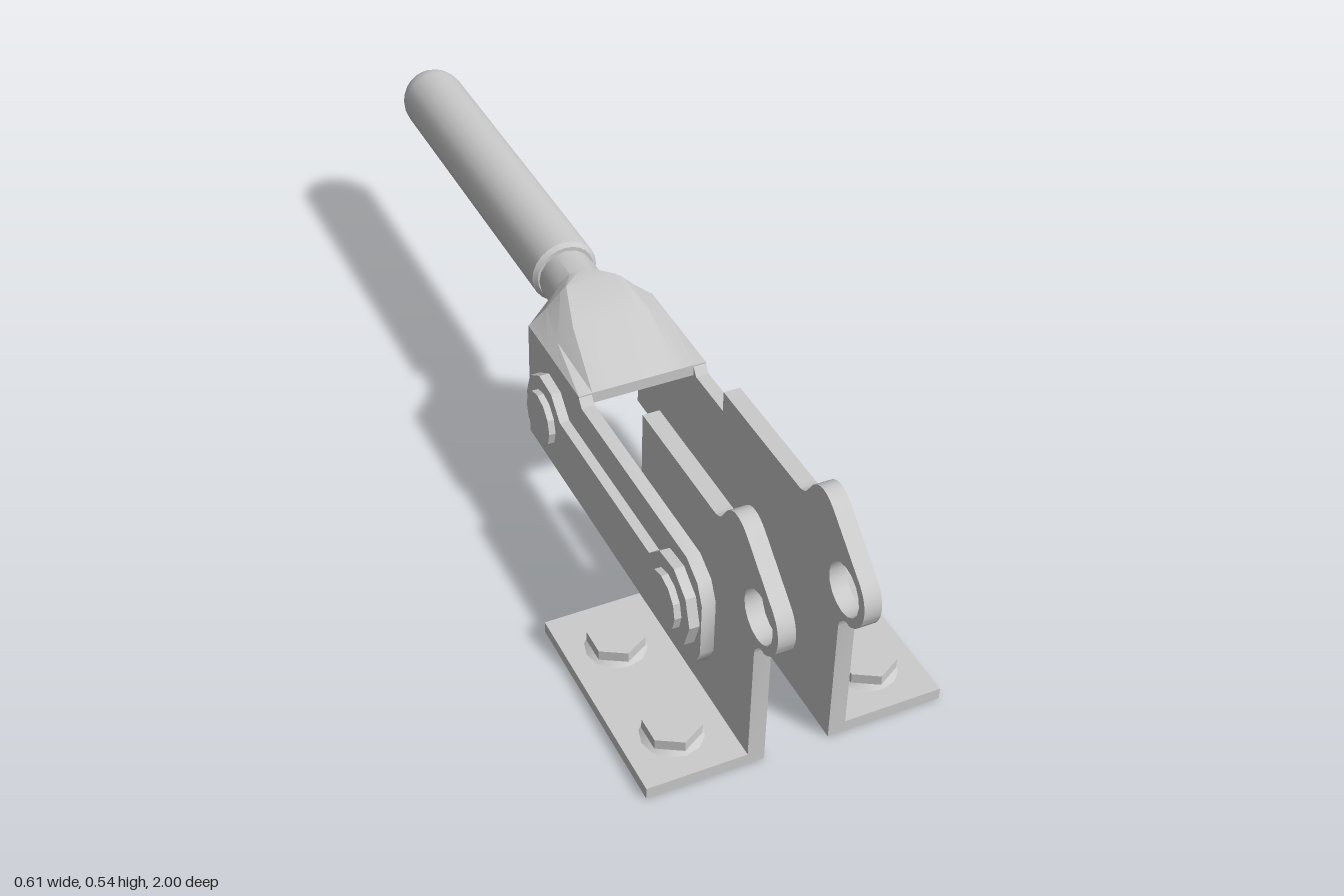
import * as THREE from 'three';
import { toCreasedNormals } from 'three/addons/utils/BufferGeometryUtils.js';

const material = new THREE.MeshStandardMaterial({ color: 0xcccccc });
const PIVOTS = [0.69, 0.108];
const PIVOT_Y = 0.243;

function add(parent, name, geometry, crease = 0.6) {
  const mesh = new THREE.Mesh(toCreasedNormals(geometry, crease), material);
  mesh.name = name;
  parent.add(mesh);
  return mesh;
}

// Plate outlined in (z, y), spanning x0..x1 on the given side.
function plate(shape, x0, x1, side) {
  const g = new THREE.ExtrudeGeometry(shape, { depth: x1 - x0, bevelEnabled: false, curveSegments: 8 });
  g.rotateY(-Math.PI / 2);
  return g.translate(side > 0 ? x1 : -x0, 0, 0);
}

// Upright with a pierced ear at the front
function uprightShape() {
  const s = new THREE.Shape();
  s.moveTo(0.45, 0);
  s.lineTo(0.92, 0);
  s.lineTo(0.92, 0.285);
  s.quadraticCurveTo(0.922, 0.308, 0.945, 0.316);
  s.absarc(0.93, 0.38, 0.07, -1.2, 0.85, false);
  s.lineTo(0.872, 0.521);
  s.quadraticCurveTo(0.83, 0.555, 0.797, 0.52);
  s.lineTo(0.778, 0.492);
  s.quadraticCurveTo(0.768, 0.479, 0.745, 0.479);
  s.lineTo(0.45, 0.479);
  s.closePath();
  const hole = new THREE.Path();
  hole.absarc(0.928, 0.38, 0.053, 0, Math.PI * 2, true);
  s.holes.push(hole);
  return s;
}

// Handle side plate, clipped corners at the front
function armShape() {
  return new THREE.Shape([
    [-0.02, 0.106], [0.72, 0.106], [0.766, 0.135], [0.787, 0.175], [0.787, 0.295],
    [0.766, 0.335], [0.72, 0.36], [0.25, 0.36], [0.235, 0.38], [-0.02, 0.383],
  ].map(([z, y]) => new THREE.Vector2(z, y)));
}

// Dumbbell link: two faceted discs joined by a bar
function linkShape() {
  const r = 0.092, a = Math.asin(0.043 / r), n = 8, pts = [];
  PIVOTS.forEach((z, k) => {
    const start = k === 0 ? -(Math.PI - a) : a;
    for (let i = 0; i <= n; i++) {
      const t = start + (i / n) * 2 * (Math.PI - a);
      pts.push(new THREE.Vector2(z + r * Math.cos(t), PIVOT_Y + r * Math.sin(t)));
    }
  });
  return new THREE.Shape(pts);
}

// Closed skin through mirrored half sections listed from front to back
function loft(sections) {
  const rings = sections.map(({ z, half }) => [
    ...half.map(([x, y]) => [x, y, z]),
    ...half.slice(1, -1).reverse().map(([x, y]) => [-x, y, z]),
  ]);
  const n = rings[0].length, index = [];
  for (let i = 0; i < rings.length - 1; i++) {
    for (let j = 0; j < n; j++) {
      const a = i * n + j, b = i * n + (j + 1) % n;
      index.push(a, a + n, b, b, a + n, b + n);
    }
  }
  const last = (rings.length - 1) * n;
  for (let j = 1; j < n - 1; j++) {
    index.push(0, j, j + 1);
    index.push(last, last + j + 1, last + j);
  }
  const g = new THREE.BufferGeometry();
  g.setAttribute('position', new THREE.Float32BufferAttribute(rings.flat(2), 3));
  g.setIndex(index);
  return g;
}

function circleHalf(r, cy) {
  return Array.from({ length: 9 }, (_, i) => {
    const t = -Math.PI / 2 + (i / 8) * Math.PI;
    return [i % 8 ? r * Math.cos(t) : 0, cy + r * Math.sin(t)];
  });
}

// Hex bolt on a chamfered washer
function bolt(x, z) {
  const g = new THREE.Group();
  g.name = 'baseBolt';
  add(g, 'washer', new THREE.CylinderGeometry(0.05, 0.062, 0.008, 12).translate(0, 0.029, 0), 0.3);
  add(g, 'hexHead', new THREE.CylinderGeometry(0.057, 0.057, 0.022, 6).translate(0, 0.044, 0), 0.3);
  g.position.set(x, 0, z);
  return g;
}

function buildSide(side) {
  const g = new THREE.Group();
  g.name = side > 0 ? 'leftSide' : 'rightSide';

  // Angle bracket
  add(g, 'bracketUpright', plate(uprightShape(), 0.067, 0.102, side));
  add(g, 'bracketFoot', new THREE.BoxGeometry(0.205, 0.025, 0.47).translate(side * 0.2045, 0.0125, 0.685));
  for (const z of [0.815, 0.565]) g.add(bolt(side * 0.206, z));

  // Handle arm and link
  add(g, 'handleArm', plate(armShape(), 0.111, 0.139, side), 0.7);
  add(g, 'link', plate(linkShape(), 0.139, 0.16, side), 0.3);

  // Pivot pins
  PIVOTS.forEach((z, i) => {
    const inner = i === 0 ? 0.1 : 0.112, len = 0.174 - inner;
    const pin = new THREE.CylinderGeometry(0.059, 0.059, len, 12).rotateZ(Math.PI / 2);
    add(g, 'pivotPin', pin.translate(side * (inner + len / 2), PIVOT_Y, z), 0.3);
  });
  return g;
}

export function createModel() {
  const model = new THREE.Group();
  model.name = 'toggleClamp';
  for (const side of [1, -1]) model.add(buildSide(side));

  // Wedge yoke blending into the round neck
  add(model, 'yoke', loft([
    { z: 0.237, half: [[0, 0.356], [0.06, 0.356], [0.111, 0.356], [0.139, 0.358], [0.139, 0.38], [0.11, 0.381], [0.08, 0.381], [0.06, 0.381], [0, 0.381]] },
    { z: 0.08, half: [[0, 0.352], [0.06, 0.352], [0.111, 0.354], [0.139, 0.357], [0.139, 0.382], [0.117, 0.4], [0.083, 0.428], [0.06, 0.431], [0, 0.431]] },
    { z: -0.018, half: [[0, 0.317], [0.06, 0.317], [0.109, 0.325], [0.138, 0.35], [0.138, 0.383], [0.1, 0.415], [0.068, 0.447], [0.055, 0.457], [0, 0.457]] },
    { z: -0.07, half: circleHalf(0.064, 0.386) },
    { z: -0.16, half: circleHalf(0.06, 0.386) },
  ]), 0.5);

  // Grip with rounded end
  const r = 0.073;
  const profile = [[0, 0.148], [0.064, 0.148], [r, 0.156]];
  for (let i = 0; i <= 8; i++) {
    const t = (i / 8) * Math.PI / 2;
    profile.push([i === 8 ? 0 : r * Math.cos(t), 1 - r + r * Math.sin(t)]);
  }
  const grip = new THREE.LatheGeometry(profile.map(([x, y]) => new THREE.Vector2(x, y)), 24);
  add(model, 'grip', grip.rotateX(-Math.PI / 2).translate(0, 0.391, 0));
  return model;
}
